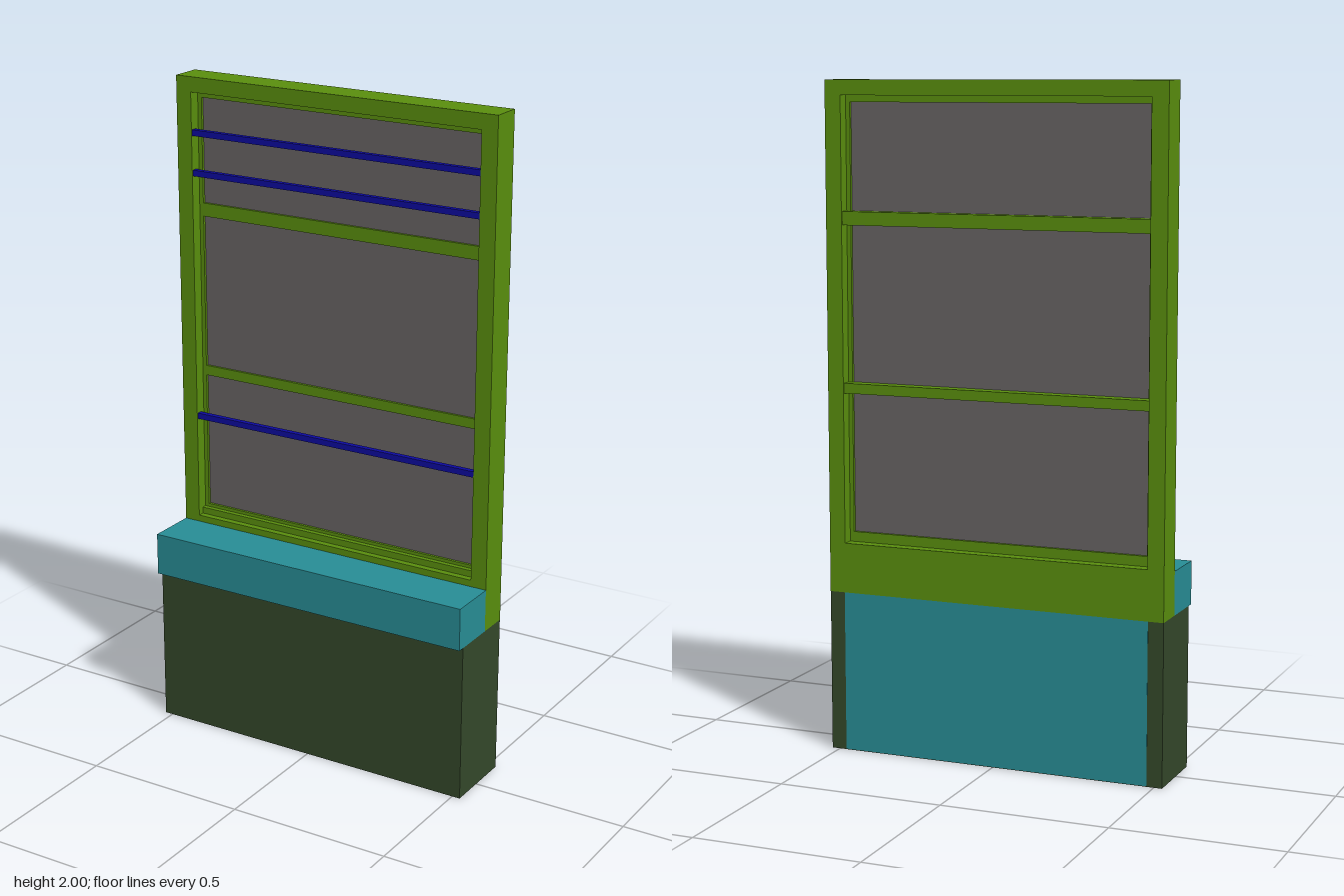
import * as THREE from 'three';

const mat = (color) => new THREE.MeshStandardMaterial({ color });

export function createModel() {
  const model = new THREE.Group();
  model.name = 'windowWall';
  const green = mat(0x5a8f0e), teal = mat(0x288e96), dark = mat(0x34482a);
  const blue = mat(0x0d0aa0), grey = mat(0x686464);

  // box given by its half width and its y and z ranges
  const slab = (name, material, halfW, y0, y1, z0, z1) => {
    const mesh = new THREE.Mesh(new THREE.BoxGeometry(halfW * 2, y1 - y0, z1 - z0), material);
    mesh.position.set(0, (y0 + y1) / 2, (z0 + z1) / 2);
    mesh.name = name;
    model.add(mesh);
  };

  const rect = (path, halfW, y0, y1) => {
    path.moveTo(-halfW, y0);
    path.lineTo(halfW, y0);
    path.lineTo(halfW, y1);
    path.lineTo(-halfW, y1);
    path.closePath();
    return path;
  };

  // flat frame with rectangular openings
  const frame = (name, outer, openings, z0, z1) => {
    const shape = rect(new THREE.Shape(), ...outer);
    for (const o of openings) shape.holes.push(rect(new THREE.Path(), ...o));
    const geo = new THREE.ExtrudeGeometry(shape, { depth: z1 - z0, bevelEnabled: false });
    const mesh = new THREE.Mesh(geo, green);
    mesh.position.z = z0;
    mesh.name = name;
    model.add(mesh);
  };

  // lower wall, its rear panel and the projecting sill
  slab('lowerWall', dark, 0.525, 0, 0.485, -0.124, 0.103);
  slab('rearPanel', teal, 0.478, 0.002, 0.485, -0.125, -0.11);
  slab('sill', teal, 0.525, 0.485, 0.615, -0.03, 0.125);

  // outer frame and the sash inside it
  frame('outerFrame', [0.525, 0.485, 2], [[0.475, 0.635, 1.955]], -0.125, -0.03);
  const panes = [[0.665, 1.085], [1.115, 1.58], [1.62, 1.935]];
  frame('sash', [0.475, 0.635, 1.955], panes.map(([a, b]) => [0.462, a, b]), -0.09, -0.065);
  slab('sashFoot', green, 0.475, 0.635, 0.655, -0.065, -0.05);

  // crossbars between the panes
  for (let i = 0; i < 2; i++) {
    slab('crossbar', green, 0.475, panes[i][1], panes[i + 1][0], -0.12, -0.066);
  }

  // glass
  for (const [y0, y1] of panes) slab('glassPane', grey, 0.462, y0, y1, -0.081, -0.073);

  // horizontal safety bars near the front
  for (const y of [0.96, 1.715, 1.835]) slab('safetyBar', blue, 0.475, y - 0.009, y + 0.009, -0.05, -0.033);

  return model;
}
